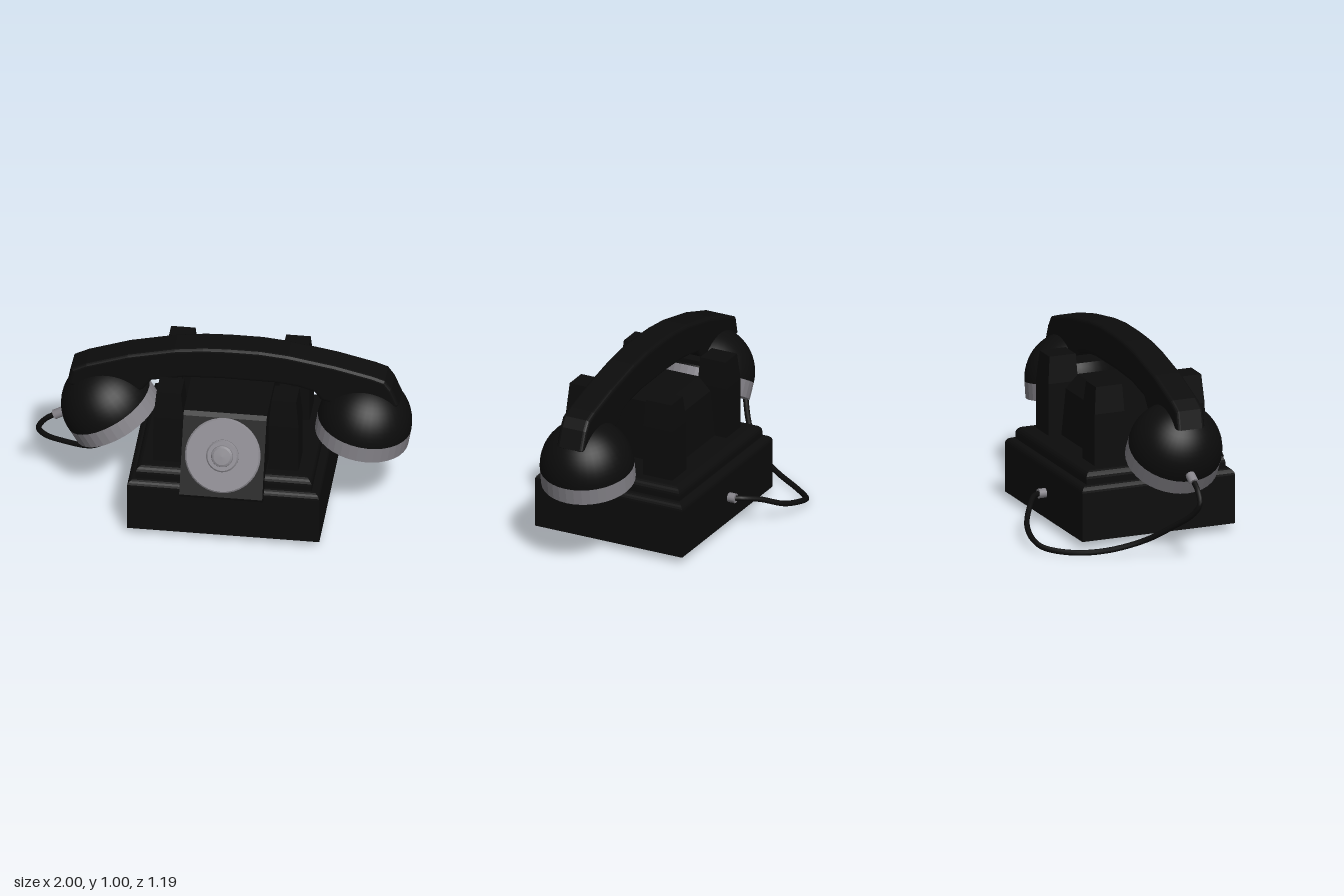
import * as THREE from 'three';

const black = new THREE.MeshStandardMaterial({ color: 0x0c0c0c });
black.name = 'black';
const grey = new THREE.MeshStandardMaterial({ color: 0x858389 });
grey.name = 'grey';

const v2 = (p) => new THREE.Vector2(p[0], p[1]);
const v3 = (p) => new THREE.Vector3(p[0], p[1], p[2]);

function add(parent, name, geometry, material) {
  const mesh = new THREE.Mesh(geometry, material);
  mesh.name = name;
  parent.add(mesh);
  return mesh;
}

// Stacks rectangles [y, x0, x1, z0, z1] from bottom to top into a closed solid
function rectLoft(rows) {
  const pos = [];
  const idx = [];
  for (const [y, x0, x1, z0, z1] of rows) {
    pos.push(x0, y, z1, x1, y, z1, x1, y, z0, x0, y, z0);
  }
  for (let r = 0; r < rows.length - 1; r++) {
    for (let i = 0; i < 4; i++) {
      const a = r * 4 + i;
      const b = r * 4 + (i + 1) % 4;
      idx.push(a, b, b + 4, a, b + 4, a + 4);
    }
  }
  const t = (rows.length - 1) * 4;
  idx.push(0, 2, 1, 0, 3, 2, t, t + 1, t + 2, t, t + 2, t + 3);
  const g = new THREE.BufferGeometry();
  g.setAttribute('position', new THREE.Float32BufferAttribute(pos, 3));
  g.setIndex(idx);
  const flat = g.toNonIndexed();
  flat.computeVertexNormals();
  return flat;
}

// Box with its upper edges rounded off by radius r
function roundTopBox(x0, x1, y0, y1, z0, z1, r) {
  const rows = [[y0, x0, x1, z0, z1]];
  for (let i = 0; i <= 5; i++) {
    const a = (i / 5) * Math.PI / 2;
    const s = r * (1 - Math.cos(a));
    rows.push([y1 - r + r * Math.sin(a), x0 + s, x1 - s, z0 + s, z1 - s]);
  }
  return rectLoft(rows);
}

// Domed cup with a grey rim; the origin is the middle of the open face
function makeCup(name, x, y, tilt) {
  const cup = new THREE.Group();
  cup.name = name;
  const rim = new THREE.CylinderGeometry(0.25, 0.25, 0.09, 36).toNonIndexed();
  rim.computeVertexNormals();
  add(cup, 'cupRim', rim, grey).position.y = 0.045;
  const dome = new THREE.SphereGeometry(0.25, 36, 14, 0, Math.PI * 2, 0, Math.PI / 2);
  add(cup, 'cupDome', dome, black).position.y = 0.09;
  cup.position.set(x, y, 0.115);
  cup.rotation.z = tilt;
  return cup;
}

export function createModel() {
  const phone = new THREE.Group();
  phone.name = 'telephone';

  // Stepped base
  add(phone, 'baseLower', roundTopBox(-0.46, 0.56, 0.04, 0.34, -0.35, 0.525, 0.035), black);
  add(phone, 'baseUpper', roundTopBox(-0.42, 0.515, 0.32, 0.408, -0.31, 0.487, 0.04), black);

  // Central housing with a sloping front, drawn from the side as (z, y)
  const side = [[0.53, 0.286], [0.58, 0.31], [0.585, 0.325], [0.405, 0.71], [0.385, 0.73],
    [-0.06, 0.73], [-0.13, 0.66], [-0.16, 0.36], [0.48, 0.36]];
  const housing = new THREE.ExtrudeGeometry(new THREE.Shape(side.map(v2)),
    { depth: 0.44, bevelEnabled: false });
  housing.rotateY(-Math.PI / 2);
  add(phone, 'housing', housing, black).position.x = 0.265;

  // Dial: disc, raised ring and centre knob in one turned profile
  const dialProfile = [[0, -0.04], [0.19, -0.04], [0.2, -0.03], [0.2, -0.008], [0.192, 0],
    [0.086, 0], [0.086, 0.012], [0.078, 0.02], [0.058, 0.02], [0.056, 0.028], [0.045, 0.034], [0, 0.036]];
  const dialGeometry = new THREE.LatheGeometry(dialProfile.map(v2), 36).toNonIndexed();
  dialGeometry.computeVertexNormals();
  const dial = add(phone, 'dial', dialGeometry, grey);
  dial.position.set(0.045, 0.54, 0.508);
  dial.rotation.x = 1.1;

  // Four cradle posts, and a bar joining each front and back pair
  for (const s of [-1, 1]) {
    const xs = (inner, outer) => [0.05 + s * inner, 0.05 + s * outer].sort((a, b) => a - b);
    const low = xs(0.225, 0.385);
    const high = xs(0.24, 0.37);
    const label = s > 0 ? 'Left' : 'Right';
    add(phone, 'frontPost' + label, rectLoft([
      [0.39, ...low, 0.235, 0.412], [0.68, ...low, 0.24, 0.405], [0.835, ...high, 0.25, 0.392]]), black);
    add(phone, 'backPost' + label, rectLoft([
      [0.39, ...low, -0.225, -0.05], [0.69, ...low, -0.225, -0.055], [0.835, ...high, -0.212, -0.062]]), black);
    const bar = add(phone, 'cradleBar' + label, new THREE.BoxGeometry(0.06, 0.025, 0.34), black);
    bar.position.set(0.05 + s * 0.29, 0.785, 0.1);
  }

  // Handset: curved grip with rounded edges and two tilted cups
  const handset = new THREE.Group();
  handset.name = 'handset';
  phone.add(handset);
  const upper = [[-0.82, 0.7], [-0.797, 0.8], [-0.72, 0.84], [-0.5, 0.917], [-0.25, 0.975], [-0.1, 0.994],
    [0.03, 1], [0.2, 1], [0.35, 0.986], [0.6, 0.942], [0.8, 0.893], [0.865, 0.87], [0.9, 0.82], [0.94, 0.72]];
  const lower = [[0.85, 0.65], [0.6, 0.7], [0.525, 0.72], [0.49, 0.768], [0.4, 0.795], [0.28, 0.808],
    [0, 0.81], [-0.2, 0.8], [-0.37, 0.765], [-0.42, 0.7], [-0.6, 0.65]];
  const grip = new THREE.ExtrudeGeometry(new THREE.Shape([...upper, ...lower].map(v2)), {
    depth: 0.12, bevelThickness: 0.02, bevelSize: 0.02, bevelOffset: -0.02, bevelSegments: 4 });
  add(handset, 'grip', grip, black).position.z = 0.06;
  handset.add(makeCup('mouthpiece', -0.565, 0.465, Math.PI / 6));
  handset.add(makeCup('earpiece', 0.733, 0.468, -0.17));

  // Cord from the mouthpiece round to the back of the base
  const path = [[-0.89, 0.438, 0.1], [-0.95, 0.395, 0.1], [-0.983, 0.335, 0.095], [-0.95, 0.275, 0.07],
    [-0.85, 0.19, 0.0], [-0.73, 0.095, -0.11], [-0.64, 0.036, -0.28], [-0.55, 0.017, -0.44],
    [-0.44, 0.028, -0.56], [-0.36, 0.05, -0.585], [-0.2, 0.09, -0.555], [-0.07, 0.152, -0.48],
    [0.01, 0.177, -0.42], [0.03, 0.177, -0.38]];
  const curve = new THREE.CatmullRomCurve3(path.map(v3));
  add(phone, 'cord', new THREE.TubeGeometry(curve, 90, 0.015, 8), black);

  // Cord sockets
  const socket = new THREE.CylinderGeometry(0.026, 0.026, 0.06, 12);
  const cupSocket = add(phone, 'cupSocket', socket, grey);
  cupSocket.position.set(-0.872, 0.446, 0.1);
  cupSocket.rotation.z = Math.PI / 2 + Math.PI / 6;
  const baseSocket = add(phone, 'baseSocket', socket, grey);
  baseSocket.position.set(0.03, 0.177, -0.36);
  baseSocket.rotation.x = Math.PI / 2;

  return phone;
}
